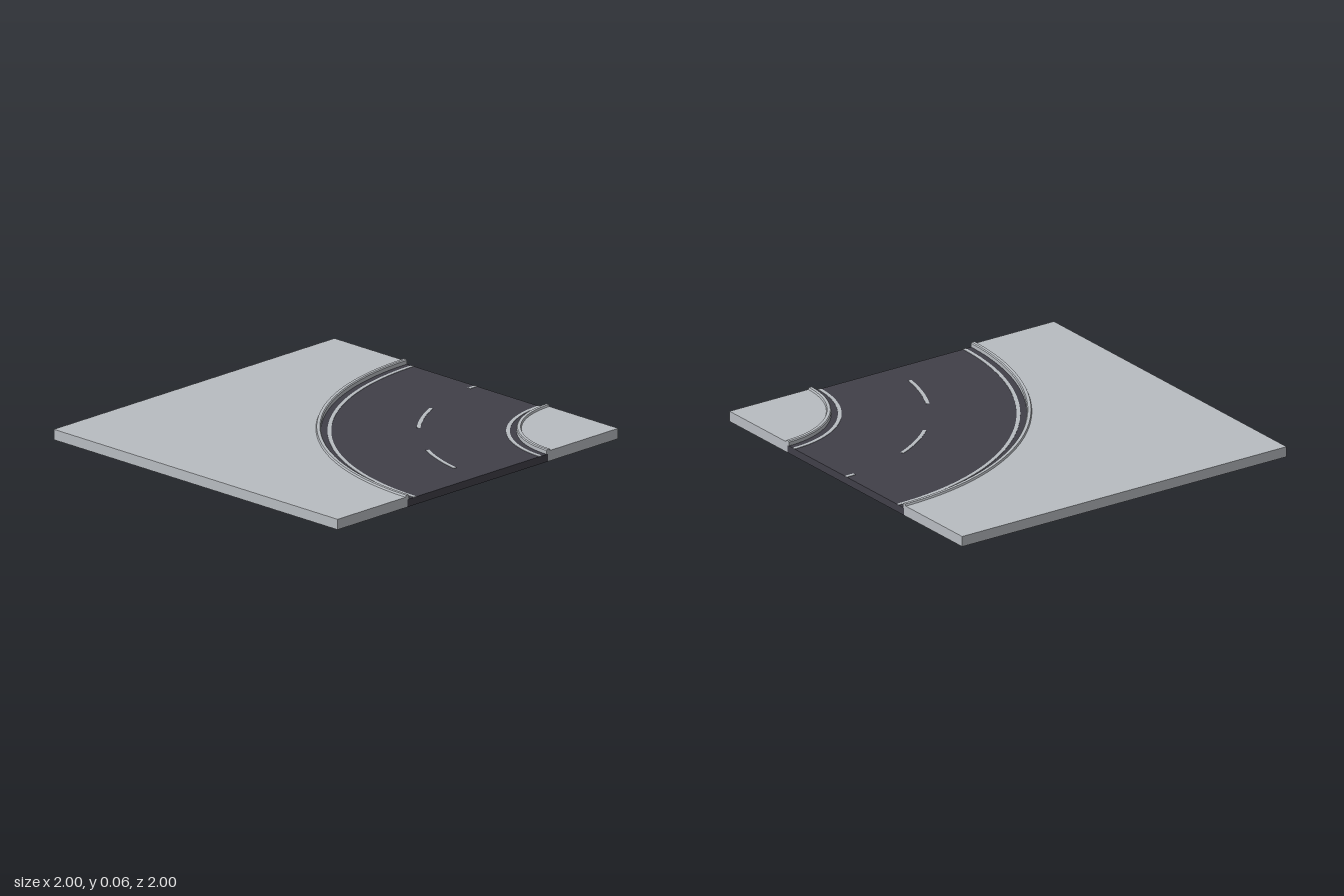
import * as THREE from 'three';
import { mergeGeometries, toCreasedNormals } from 'three/addons/utils/BufferGeometryUtils.js';

const ROAD_Y = 0.04, PAVE_Y = 0.055, KERB_Y = 0.065;
const CORNER = 1; // the bend turns around x = 1, z = 1

export function createModel() {
  const group = new THREE.Group();
  const concrete = new THREE.MeshStandardMaterial({ color: 0xb8bcc1 });
  concrete.name = 'light grey concrete';
  const asphalt = new THREE.MeshStandardMaterial({ color: 0x403f48 });
  asphalt.name = 'dark grey asphalt';

  const add = (name, geometry, material) => {
    const mesh = new THREE.Mesh(geometry, material);
    mesh.name = name;
    group.add(mesh);
    return mesh;
  };

  // Sweeps a counter-clockwise (radius, height) profile round the bend and caps the ends.
  // Angles run in degrees from the right edge (0) to the front edge (90).
  const sweep = (profile, from = 0, to = 90) => {
    const pts = profile.map(([r, y]) => new THREE.Vector2(r, y));
    const start = Math.PI + THREE.MathUtils.degToRad(from);
    const length = THREE.MathUtils.degToRad(to - from);
    const segments = Math.max(8, Math.round((to - from) * 0.7));
    const wall = new THREE.LatheGeometry([...pts, pts[0].clone()], segments, start, length);
    const startCap = new THREE.ShapeGeometry(new THREE.Shape(pts)).rotateY(start - Math.PI / 2);
    const mirrored = pts.map((p) => new THREE.Vector2(-p.x, p.y));
    const endCap = new THREE.ShapeGeometry(new THREE.Shape(mirrored)).rotateY(start + length - Math.PI * 1.5);
    const merged = mergeGeometries([wall, startCap, endCap]);
    return toCreasedNormals(merged, 0.4).translate(CORNER, 0, CORNER);
  };
  const band = (r0, r1, y0, y1) => [[r0, y0], [r1, y0], [r1, y1], [r0, y1]];

  // Pavement slabs, drawn in plan (shape y = -z) and raised
  const slab = (shape) => toCreasedNormals(
    new THREE.ExtrudeGeometry(shape, { depth: PAVE_Y, bevelEnabled: false, curveSegments: 64 })
      .rotateX(-Math.PI / 2), 0.4);

  const outer = new THREE.Shape();
  outer.moveTo(-1, -1);
  outer.lineTo(-0.5, -1);
  outer.absarc(1, -1, 1.5, Math.PI, Math.PI / 2, true);
  outer.lineTo(1, 1);
  outer.lineTo(-1, 1);
  outer.closePath();
  add('outerPavement', slab(outer), concrete);

  const inner = new THREE.Shape();
  inner.moveTo(1, -1);
  inner.lineTo(1, -0.5);
  inner.absarc(1, -1, 0.5, Math.PI / 2, Math.PI, false);
  inner.closePath();
  add('innerPavement', slab(inner), concrete);

  // Road bed
  add('road', sweep(band(0.5, 1.5, 0, ROAD_Y)), asphalt);

  // Raised kerbs, overlapping the pavement edge
  const kerb = [
    [1.49, ROAD_Y], [1.5, ROAD_Y], [1.5, PAVE_Y], [1.515, PAVE_Y],
    [1.511, KERB_Y], [1.495, KERB_Y], [1.49, 0.06],
  ];
  add('outerKerb', sweep(kerb), concrete);
  add('innerKerb', sweep(kerb.map(([r, y]) => [2 - r, y]).reverse()), concrete);

  // Painted edge lines and centre dashes
  const paint = (r0, r1) => band(r0, r1, ROAD_Y, ROAD_Y + 0.002);
  add('outerEdgeLine', sweep(paint(1.438, 1.457)), concrete);
  add('innerEdgeLine', sweep(paint(0.543, 0.562)), concrete);
  for (const [from, to] of [[0, 3], [24, 42], [62, 80]]) {
    add('centreDash', sweep(paint(0.992, 1.011), from, to), concrete);
  }

  return group;
}
